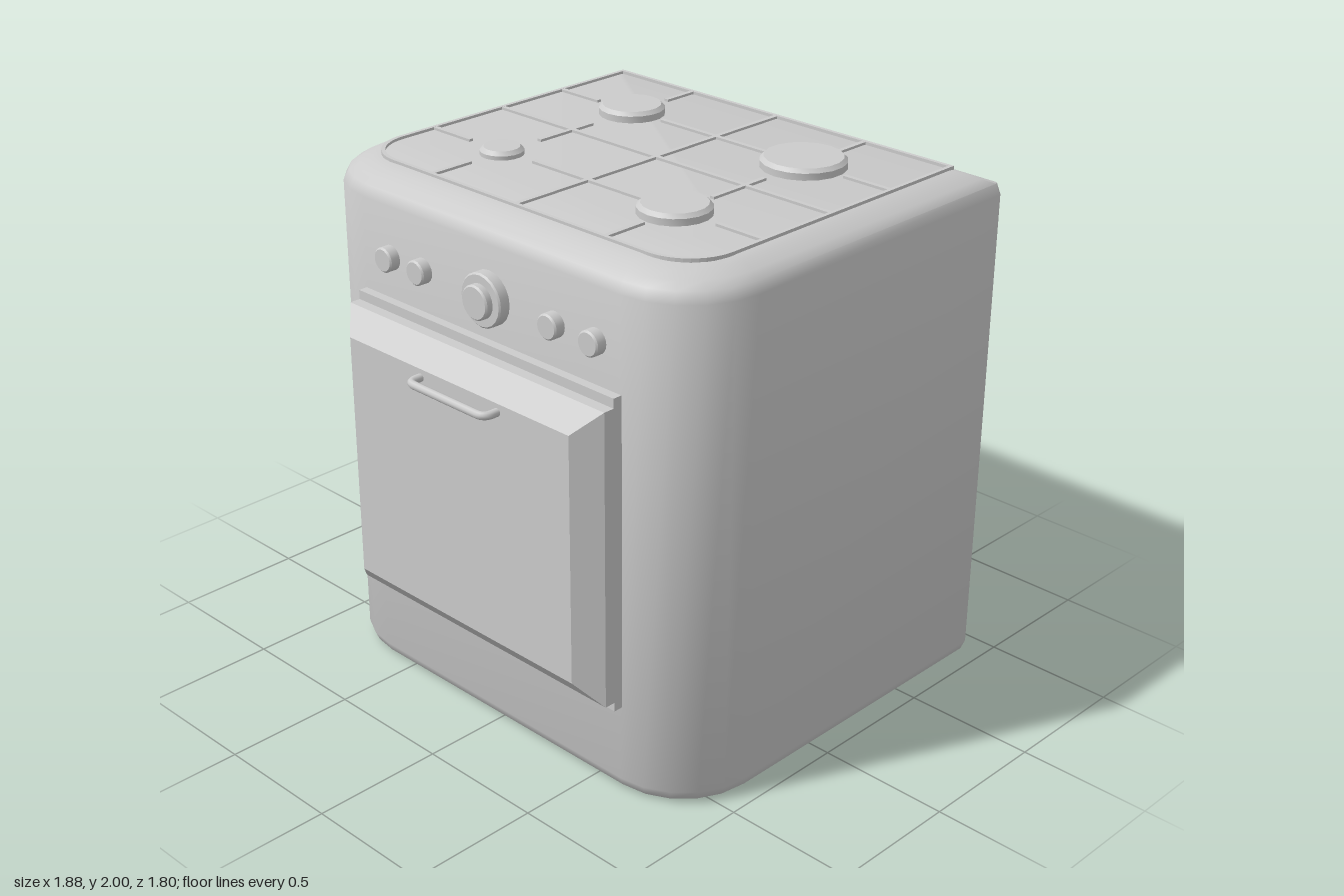
import * as THREE from 'three';
import { toCreasedNormals } from 'three/addons/utils/BufferGeometryUtils.js';

const grey = new THREE.MeshStandardMaterial({ color: 0xcccccc });

function add(parent, name, geometry, x = 0, y = 0, z = 0) {
  const mesh = new THREE.Mesh(geometry, grey);
  mesh.name = name;
  mesh.position.set(x, y, z);
  parent.add(mesh);
  return mesh;
}

// Closed solid through a stack of equally sized rings of [x, y, z] points
function loft(rings, crease) {
  const n = rings[0].length, last = (rings.length - 1) * n, index = [];
  for (let i = 0; i < last; i += n) {
    for (let j = 0; j < n; j++) {
      const a = i + j, b = i + (j + 1) % n;
      index.push(a, a + n, b, b, a + n, b + n);
    }
  }
  for (let j = 1; j < n - 1; j++) {
    index.push(0, j, j + 1, last, last + j + 1, last + j);
  }
  const g = new THREE.BufferGeometry();
  g.setAttribute('position', new THREE.Float32BufferAttribute(rings.flat(2), 3));
  g.setIndex(index);
  return toCreasedNormals(g, crease);
}

// Plan outline with large rounded front corners and tight back corners
function bodyRing(y, inset, backInset) {
  const hx = 0.94 - inset, front = 0.68 - inset, back = -0.9 + backInset;
  const points = [];
  const corner = (sx, sz, r, steps, start) => {
    const cx = sx * (hx - r), cz = sz > 0 ? front - r : back + r;
    for (let i = 0; i <= steps; i++) {
      const t = start + (i / steps) * Math.PI / 2;
      points.push([cx + r * Math.cos(t), y, cz + r * Math.sin(t)]);
    }
  };
  corner(1, 1, 0.31 - inset * 0.7, 5, 0);
  corner(-1, 1, 0.31 - inset * 0.7, 5, Math.PI / 2);
  corner(-1, -1, 0.015, 2, Math.PI);
  corner(1, -1, 0.015, 2, Math.PI * 1.5);
  return points;
}

function doorRing(hx, y0, y1, z) {
  return [[hx, y1, z], [hx, y0, z], [-hx, y0, z], [-hx, y1, z]];
}

// Tray outline on the hob, square at the back and rounded at the front
function trayPath(path, hx, back, front, r) {
  path.moveTo(-hx, back);
  path.lineTo(hx, back);
  path.lineTo(hx, front - r);
  path.absarc(hx - r, front - r, r, 0, Math.PI / 2, false);
  path.lineTo(-hx + r, front);
  path.absarc(-hx + r, front - r, r, Math.PI / 2, Math.PI, false);
  path.closePath();
  return path;
}

// Round part with a bevelled rim, base at y = 0
function disc(r, h, bevel, sides) {
  const profile = [[0, 0], [r, 0], [r, h - bevel], [r - bevel, h], [0, h]];
  return toCreasedNormals(new THREE.LatheGeometry(
    profile.map(([x, y]) => new THREE.Vector2(x, y)), sides), 0.6);
}

export function createModel() {
  const model = new THREE.Group();
  model.name = 'cooker';

  // Cabinet
  const levels = [[0, 0.03, 0.01], [0.015, 0.014, 0.003], [0.05, 0, 0], [1.87, 0, 0],
    [1.908, 0.018, 0], [1.93, 0.05, 0.05], [1.95, 0.095, 0.095], [1.961, 0.135, 0.135]];
  add(model, 'cabinet', loft(levels.map(l => bodyRing(...l)), 0.65));

  // Pan support: outer frame and bars
  const hob = new THREE.Group();
  hob.name = 'panSupport';
  model.add(hob);
  const frame = trayPath(new THREE.Shape(), 0.81, -0.785, 0.545, 0.19);
  frame.holes.push(trayPath(new THREE.Path(), 0.795, -0.77, 0.53, 0.175));
  const frameGeometry = new THREE.ExtrudeGeometry(frame,
    { depth: 0.02, bevelEnabled: false, curveSegments: 6 });
  frameGeometry.rotateX(Math.PI / 2);
  add(hob, 'supportFrame', frameGeometry, 0, 1.971, 0);
  const bar = (x0, x1, z0, z1) => add(hob, 'supportBar',
    new THREE.BoxGeometry(x1 - x0, 0.02, z1 - z0), (x0 + x1) / 2, 1.9605, (z0 + z1) / 2);
  const w = 0.009;
  bar(-w, w, -0.775, 0.535);
  bar(-0.8, -w, -0.135 - w, -0.135 + w);
  bar(w, 0.8, -0.135 - w, -0.135 + w);
  for (const x of [-0.425, 0.42]) {
    bar(x - w, x + w, -0.775, -0.63);
    bar(x - w, x + w, -0.235, -0.135 - w);
    bar(x - w, x + w, -0.135 + w, 0.03);
    bar(x - w, x + w, 0.36, 0.535);
  }
  for (const z of [-0.445, 0.2]) {
    for (const [a, b] of [[-0.8, -0.6], [-0.27, -w], [w, 0.27], [0.6, 0.8]]) {
      bar(a, b, z - w, z + w);
    }
  }

  // Burners
  const burners = [[-0.42, -0.44, 0.124, 2], [0.42, -0.44, 0.156, 2],
    [-0.425, 0.21, 0.08, 1.99], [0.42, 0.21, 0.13, 2]];
  for (const [x, z, r, top] of burners) {
    add(model, 'burner', disc(r, top - 1.955, 0.014, 18), x, 1.955, z);
  }

  // Control knobs
  const knob = (name, x, r, z0, z1) =>
    add(model, name, disc(r, z1 - z0, 0.006, 20), x, 1.68, z0).rotation.x = Math.PI / 2;
  for (const x of [-0.49, -0.32, 0.335, 0.525]) knob('knob', x, 0.046, 0.67, 0.722);
  knob('timerRing', 0.02, 0.098, 0.67, 0.724);
  knob('timerDial', 0.02, 0.063, 0.72, 0.752);

  // Oven door: backing plate and bevelled panel
  add(model, 'doorPlate', new THREE.BoxGeometry(1.276, 1.18, 0.045), 0, 0.935, 0.6925);
  add(model, 'doorPanel', loft([
    doorRing(0.638, 0.38, 1.49, 0.7),
    doorRing(0.638, 0.38, 1.49, 0.757),
    doorRing(0.552, 0.472, 1.405, 0.833),
  ], 0.3));

  // Door handle
  const path = new THREE.CurvePath();
  const v = (x, z) => new THREE.Vector3(x, 1.374, z);
  path.add(new THREE.LineCurve3(v(-0.173, 0.82), v(-0.173, 0.855)));
  path.add(new THREE.QuadraticBezierCurve3(v(-0.173, 0.855), v(-0.173, 0.89), v(-0.138, 0.89)));
  path.add(new THREE.LineCurve3(v(-0.138, 0.89), v(0.178, 0.89)));
  path.add(new THREE.QuadraticBezierCurve3(v(0.178, 0.89), v(0.213, 0.89), v(0.213, 0.855)));
  path.add(new THREE.LineCurve3(v(0.213, 0.855), v(0.213, 0.82)));
  add(model, 'doorHandle', new THREE.TubeGeometry(path, 60, 0.015, 10, false));

  return model;
}
